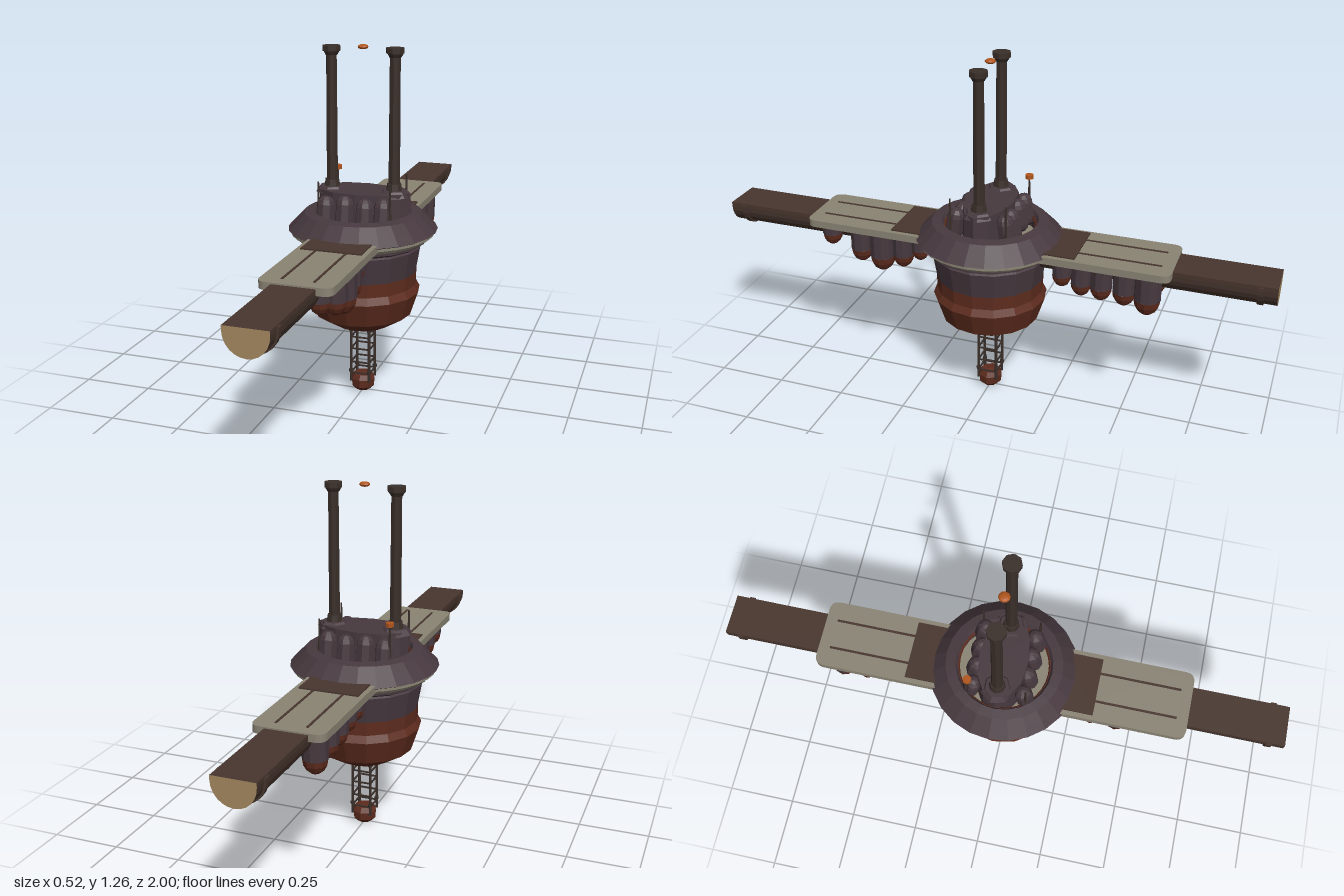
import * as THREE from 'three';

const mat = (name, color, side = THREE.FrontSide) => {
  const m = new THREE.MeshStandardMaterial({ color, flatShading: true, side });
  m.name = name;
  return m;
};

export function createModel() {
  const slate = mat('slate purple', 0x47393f, THREE.DoubleSide);
  const rust = mat('rust', 0x5e2c1e, THREE.DoubleSide);
  const brown = mat('brown wood', 0x48362e);
  const stone = mat('pale stone', 0x8a8474);
  const tan = mat('tan', 0xa5885f);
  const iron = mat('dark iron', 0x3a2f2a);
  const amber = mat('amber', 0xb0551c);

  const model = new THREE.Group();
  const add = (parent, name, geo, material, x = 0, y = 0, z = 0) => {
    const m = new THREE.Mesh(geo, material);
    m.name = name;
    m.position.set(x, y, z);
    parent.add(m);
    return m;
  };
  const group = (parent, name) => {
    const g = new THREE.Group();
    g.name = name;
    parent.add(g);
    return g;
  };
  const lathe = (pts, seg) => new THREE.LatheGeometry(pts.map(p => new THREE.Vector2(...p)), seg);
  const cyl = (rTop, rBottom, h, seg = 8) => new THREE.CylinderGeometry(rTop, rBottom, h, seg);

  // Hull: rust bowl below, slate wall above
  add(model, 'hullBowl', lathe([[0, 0.255], [0.1, 0.268], [0.175, 0.315], [0.203, 0.4],
    [0.19, 0.425], [0.191, 0.473]], 16), rust);
  add(model, 'hullWall', lathe([[0.191, 0.473], [0.207, 0.565], [0.2, 0.57], [0.222, 0.582],
    [0.222, 0.598]], 16), slate);
  add(model, 'lowerRim', cyl(0.245, 0.235, 0.014, 32), stone, 0, 0.603);
  add(model, 'upperRim', cyl(0.252, 0.252, 0.01, 32), stone, 0, 0.615);

  // Sloping skirt with an open middle
  add(model, 'skirt', lathe([[0.25, 0.618], [0.262, 0.624], [0.205, 0.682], [0.17, 0.687],
    [0.162, 0.672], [0.165, 0.62]], 24), slate);
  const ring = add(model, 'skirtInnerRing', new THREE.TorusGeometry(0.163, 0.008, 6, 32), rust, 0, 0.664);
  ring.rotation.x = Math.PI / 2;

  // Rocky mesa carrying the chimneys
  const mesa = group(model, 'mesa');
  const rock = cyl(1, 1.04, 0.15, 12);
  rock.scale(0.165, 1, 0.085);
  const rp = rock.attributes.position;
  for (let i = 0; i < rp.count; i++) {
    const a = Math.atan2(rp.getZ(i), rp.getX(i));
    const k = 1 + 0.04 * Math.cos(a * 5);
    rp.setXYZ(i, rp.getX(i) * k, rp.getY(i), rp.getZ(i) * k);
  }
  add(mesa, 'mesaRock', rock, slate, 0, 0.685);
  for (const s of [-1, 1]) {
    const cap = cyl(0.042, 0.058, 0.02, 7);
    add(mesa, 'mesaKnob', cap, slate, s * 0.115, 0.757);
    [-0.105, -0.037, 0.035, 0.1].forEach((x, i) => {
      const b = add(mesa, 'mesaBoulder', new THREE.CapsuleGeometry(0.031, 0.06, 3, 8), slate,
        x, 0.69 + 0.006 * (i % 2), s * 0.093);
      b.rotation.x = -s * 0.15;
    });
  }

  // Twin chimneys
  for (const s of [-1, 1]) {
    const g = group(model, 'chimney');
    g.position.x = s * 0.113;
    add(g, 'chimneyShaft', cyl(0.019, 0.021, 0.56), iron, 0, 0.96);
    add(g, 'chimneyCollar', cyl(0.029, 0.021, 0.014), iron, 0, 1.229);
    add(g, 'chimneyCap', cyl(0.032, 0.032, 0.018), iron, 0, 1.245);
    add(g, 'chimneyFoot', cyl(0.025, 0.03, 0.03), iron, 0, 0.775);
    // Thin masts around the mesa
    for (const t of [-1, 1])
      add(model, 'mast', cyl(0.003, 0.006, 0.13, 6), iron, s * 0.128, 0.735, t * 0.1);
  }
  add(model, 'mastLamp', cyl(0.015, 0.015, 0.014), amber, -0.128, 0.808, -0.1);
  const beacon = new THREE.SphereGeometry(0.019, 10, 6);
  beacon.scale(1, 0.45, 1);
  add(model, 'beacon', beacon, amber, 0, 1.253);

  // Half-round section used for the beams and their hoops
  const halfRound = (r, top, drop) => {
    const s = new THREE.Shape();
    s.moveTo(r, top);
    for (let i = 0; i <= 12; i++) {
      const a = Math.PI * i / 12;
      s.lineTo(r * Math.cos(a), 0.612 - drop * Math.sin(a));
    }
    s.lineTo(-r, top);
    s.closePath();
    return s;
  };

  // Deck outline with rounded outer corners
  const deckShape = new THREE.Shape();
  deckShape.moveTo(-0.122, 0.2);
  deckShape.lineTo(0.122, 0.2);
  deckShape.lineTo(0.122, 0.625);
  deckShape.quadraticCurveTo(0.122, 0.66, 0.087, 0.66);
  deckShape.lineTo(-0.087, 0.66);
  deckShape.quadraticCurveTo(-0.122, 0.66, -0.122, 0.625);
  deckShape.closePath();

  // Hanging pods: [x, z, radius, bottom y]
  const frontPods = [
    [-0.06, 0.59, 0.038, 0.512], [0.06, 0.59, 0.036, 0.52], [-0.06, 0.51, 0.038, 0.49],
    [0.065, 0.47, 0.04, 0.475], [0.062, 0.39, 0.046, 0.45], [-0.06, 0.42, 0.042, 0.475],
    [0.06, 0.31, 0.038, 0.475], [-0.06, 0.33, 0.04, 0.485], [0.055, 0.245, 0.032, 0.51],
    [-0.055, 0.25, 0.035, 0.5],
  ];
  const backPods = [
    [-0.062, 0.58, 0.046, 0.45], [0.06, 0.58, 0.042, 0.465], [-0.06, 0.5, 0.04, 0.47],
    [0.06, 0.49, 0.04, 0.48], [-0.06, 0.42, 0.038, 0.475], [0.06, 0.4, 0.036, 0.485],
    [-0.06, 0.35, 0.036, 0.48], [0.06, 0.32, 0.035, 0.5], [-0.055, 0.28, 0.034, 0.5],
    [0.055, 0.235, 0.032, 0.505],
  ];

  // Two arms: beam, deck and pods
  for (const [name, turn, pods] of [['frontArm', 0, frontPods], ['backArm', Math.PI, backPods]]) {
    const arm = group(model, name);
    arm.rotation.y = turn;
    add(arm, 'beam', new THREE.ExtrudeGeometry(halfRound(0.072, 0.627, 0.075),
      { depth: 0.8, bevelEnabled: false }), [tan, brown], 0, 0, 0.2);
    add(arm, 'beamHoop', new THREE.ExtrudeGeometry(halfRound(0.078, 0.622, 0.081),
      { depth: 0.02, bevelEnabled: false }), brown, 0, 0, 0.935);
    const deck = new THREE.ExtrudeGeometry(deckShape, { depth: 0.026, bevelEnabled: false });
    deck.rotateX(Math.PI / 2);
    add(arm, 'deck', deck, stone, 0, 0.632);
    add(arm, 'deckThreshold', new THREE.BoxGeometry(0.21, 0.008, 0.125), brown, 0, 0.633, 0.272);
    for (const s of [-1, 1])
      add(arm, 'deckGroove', new THREE.BoxGeometry(0.008, 0.004, 0.3), brown, s * 0.052, 0.632, 0.47);
    for (const [x, z, r, bottom] of pods) {
      const tip = bottom + r * 1.25;
      add(arm, 'pod', cyl(r, r, 0.61 - tip, 10), slate, x, (0.61 + tip) / 2, z);
      const end = new THREE.SphereGeometry(r, 10, 4, 0, Math.PI * 2, Math.PI / 2, Math.PI / 2);
      end.scale(1, 1.25, 1);
      add(arm, 'podTip', end, rust, x, tip, z);
    }
  }

  // Lattice mast below the hull with a faceted foot
  const lattice = group(model, 'lattice');
  for (let i = 0; i < 4; i++) {
    const side = group(lattice, 'latticeSide');
    side.rotation.y = i * Math.PI / 2;
    add(side, 'post', cyl(0.005, 0.005, 0.23, 6), iron, 0.034, 0.16, 0.034);
    for (const y of [0.077, 0.12, 0.172, 0.217])
      add(side, 'rung', new THREE.BoxGeometry(0.068, 0.005, 0.005), iron, 0, y, 0.034);
    for (const y of [0.085, 0.245])
      add(side, 'joint', cyl(0.008, 0.008, 0.01, 6), iron, 0.034, y, 0.034);
  }
  add(model, 'foot', lathe([[0, 0.002], [0.026, 0.006], [0.042, 0.022], [0.044, 0.05],
    [0.034, 0.067], [0, 0.07]], 8), rust);

  return model;
}
